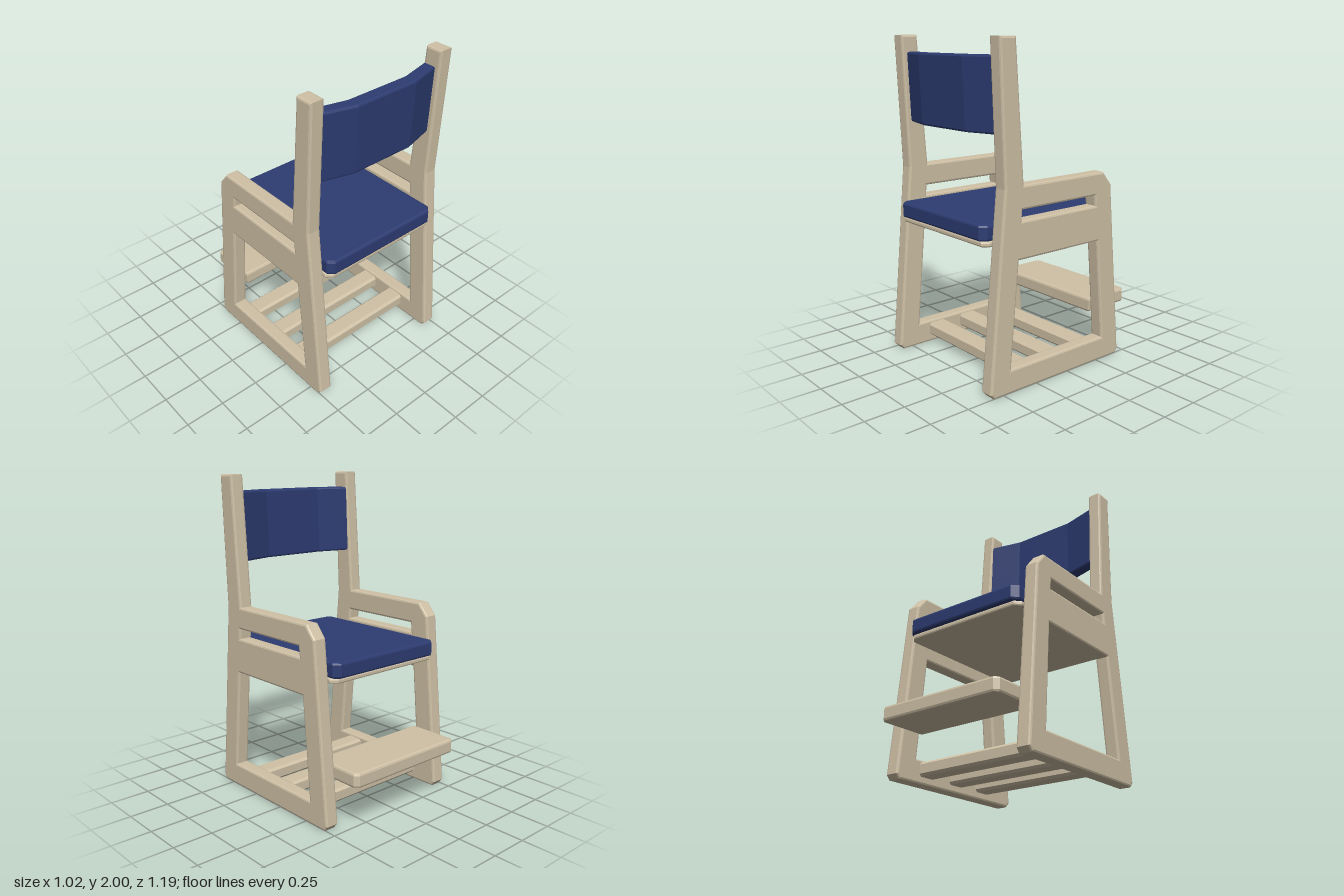
import * as THREE from 'three';

const wood = new THREE.MeshStandardMaterial({ color: 0xcfc1a6 });
wood.name = 'beige wood';
const fabric = new THREE.MeshStandardMaterial({ color: 0x2d3c72 });
fabric.name = 'navy upholstery';

const toPoints = (list) => list.map(([a, b]) => new THREE.Vector2(a, b));

// Extrudes an outline to a total depth with small softened edges, from 0 to depth
function slab(outline, depth, bevel, holes = []) {
  const shape = new THREE.Shape(toPoints(outline));
  holes.forEach((h) => shape.holes.push(new THREE.Path(toPoints(h))));
  const geo = new THREE.ExtrudeGeometry(shape, {
    depth: depth - 2 * bevel, bevelEnabled: true, bevelSize: bevel,
    bevelThickness: bevel, bevelOffset: -bevel, bevelSegments: 2,
  });
  return geo.translate(0, 0, bevel);
}

// Horizontal board: outline given as (x, z), raised from y0 to y1
function board(outline, y0, y1, bevel) {
  const flipped = outline.map(([x, z]) => [x, -z]);
  return slab(flipped, y1 - y0, bevel).rotateX(-Math.PI / 2).translate(0, y0, 0);
}

// Rectangle in plan with cut corners at the front (cf) and back (cb)
function cutRect(w, z0, z1, cf, cb) {
  const pts = [[-w + cf, z0], [w - cf, z0], [w, z0 + cf]];
  if (cb) pts.push([w, z1 - cb], [w - cb, z1], [-w + cb, z1], [-w, z1 - cb]);
  else pts.push([w, z1], [-w, z1]);
  pts.push([-w, z0 + cf]);
  return pts;
}

export function createModel() {
  const chair = new THREE.Group();
  chair.name = 'highChair';
  const add = (name, geo, mat) => {
    const mesh = new THREE.Mesh(geo, mat);
    mesh.name = name;
    chair.add(mesh);
    return mesh;
  };

  // Side frames: leg, armrest and back post in one panel, drawn as (z, y)
  const outline = [
    [-0.42, 0], [0.57, 0], [0.597, 0.03], [0.49, 1.19], [0.525, 2], [0.412, 2],
    [0.355, 1.2], [-0.275, 1.2], [-0.342, 1.12], [-0.443, 0.03],
  ];
  const legOpening = [[0.448, 0.145], [0.39, 0.777], [-0.235, 0.777], [-0.29, 0.145]];
  const armSlot = [[0.37, 1.0], [0.365, 1.062], [-0.205, 1.062], [-0.212, 1.0]];
  const sideGeo = slab(outline, 0.09, 0.013, [legOpening, armSlot]).rotateY(-Math.PI / 2);
  add('leftSideFrame', sideGeo, wood).position.x = 0.51;
  add('rightSideFrame', sideGeo, wood).position.x = -0.42;

  // Seat board and cushion
  add('seatBoard', board(cutRect(0.418, -0.405, 0.562, 0.035, 0.035), 0.857, 0.89, 0.01), wood);
  add('seatCushion', board(cutRect(0.415, -0.425, 0.575, 0.036, 0.036), 0.89, 0.985, 0.014), fabric);

  // Curved backrest, leaning back towards the top
  const back = board([
    [-0.42, 0.41], [-0.21, 0.462], [0.21, 0.462], [0.42, 0.41],
    [0.42, 0.488], [0.21, 0.548], [-0.21, 0.548], [-0.42, 0.488],
  ], 1.475, 1.9, 0.012);
  const p = back.attributes.position;
  for (let i = 0; i < p.count; i++) p.setZ(i, p.getZ(i) + (p.getY(i) - 1.9) * 0.043);
  back.computeVertexNormals();
  add('backrest', back, fabric);

  // Footrest
  add('footrest', board(cutRect(0.42, -0.597, -0.26, 0.025, 0), 0.29, 0.38, 0.015), wood);

  // Floor-level cross bars
  [-0.2, 0.06, 0.31].forEach((z, i) => {
    const bar = slab([
      [z - 0.062, 0.06], [z - 0.047, 0.045], [z + 0.047, 0.045], [z + 0.062, 0.06],
      [z + 0.062, 0.115], [z + 0.047, 0.13], [z - 0.047, 0.13], [z - 0.062, 0.115],
    ], 0.85, 0.003).rotateY(-Math.PI / 2).translate(0.425, 0, 0);
    add('crossBar' + (i + 1), bar, wood);
  });

  return chair;
}
